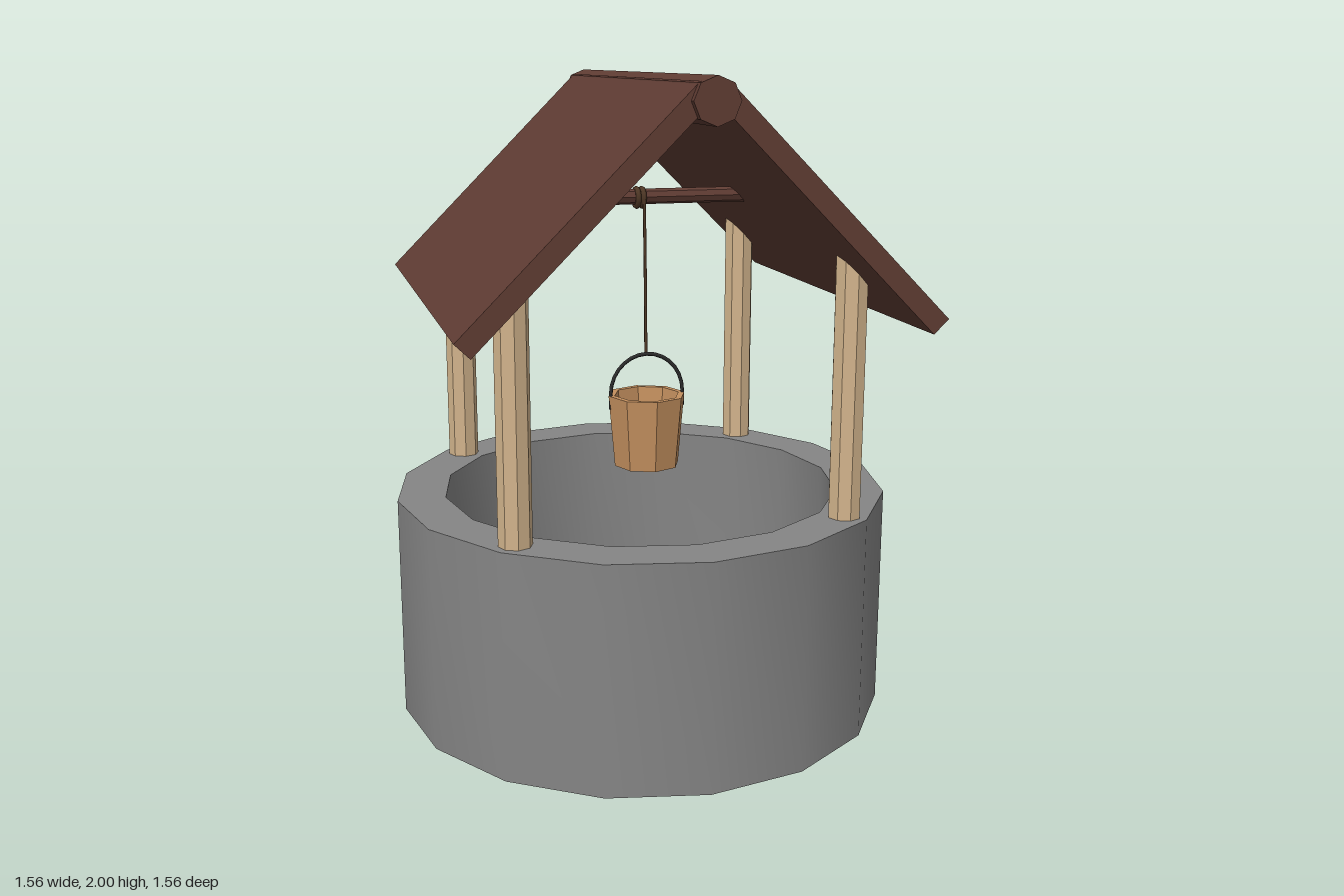
import * as THREE from 'three';
import { toCreasedNormals } from 'three/addons/utils/BufferGeometryUtils.js';

const mat = (color, flatShading = false) => new THREE.MeshStandardMaterial({ color, flatShading });

export function createModel() {
  const well = new THREE.Group();
  well.name = 'well';
  const stone = mat(0x858585);
  const post = mat(0xd2b48c, true);
  const roofWood = mat(0x5f3c33, true);
  const bucketWood = mat(0xc4905f, true);
  const rope = mat(0x4f3826);
  const iron = mat(0x2c2c2c);
  const water = mat(0x2f4f78);

  const add = (name, geometry, material, x = 0, y = 0, z = 0, parent = well) => {
    const mesh = new THREE.Mesh(geometry, material);
    mesh.name = name;
    mesh.position.set(x, y, z);
    parent.add(mesh);
    return mesh;
  };
  const lathe = (pairs, sides) =>
    new THREE.LatheGeometry(pairs.map(([r, y]) => new THREE.Vector2(r, y)), sides);

  // Hollow stone wall with a floor, and the water inside
  const wall = lathe([[0, 0], [0.78, 0], [0.78, 0.7], [0.63, 0.7], [0.63, 0.1], [0, 0.1]], 16);
  add('stoneWall', toCreasedNormals(wall, 0.6), stone);
  add('water', new THREE.CircleGeometry(0.63, 16).rotateX(-Math.PI / 2), water, 0, 0.2, 0);

  // Four posts, their tops cut along the slope of the roof
  for (const sx of [-1, 1]) {
    for (const sz of [-1, 1]) {
      const g = new THREE.CylinderGeometry(0.05, 0.05, 0.8, 8);
      g.translate(sx * 0.5, 1.1, sz * 0.5);
      const p = g.attributes.position;
      for (let i = 0; i < p.count; i++) {
        if (p.getY(i) > 1.1) p.setY(i, 1.96 - Math.abs(p.getX(i)));
      }
      add('post', g, post);
    }
  }

  // Two sloping roof slabs meeting at the ridge pole
  for (const s of [-1, 1]) {
    const slab = new THREE.Shape([
      new THREE.Vector2(0, 2.025 - 0.04),
      new THREE.Vector2(0, 1.94),
      new THREE.Vector2(0.647, 1.293),
      new THREE.Vector2(0.69, 1.335),
      new THREE.Vector2(0.04, 1.985),
    ].map((v) => new THREE.Vector2(s * v.x, v.y)));
    const g = new THREE.ExtrudeGeometry(slab, { depth: 1.48, bevelEnabled: false });
    add(s > 0 ? 'roofLeft' : 'roofRight', g, roofWood, 0, 0, -0.74);
  }
  add('ridgePole', new THREE.CylinderGeometry(0.065, 0.065, 1.525, 8).rotateX(Math.PI / 2), roofWood, 0, 1.935, 0);

  // Crossbeam with the rope looped around it
  add('crossbeam', new THREE.CylinderGeometry(0.024, 0.024, 0.7, 8).rotateZ(Math.PI / 2), roofWood, 0, 1.623, 0);
  for (const x of [-0.011, 0.006]) {
    add('ropeLoop', new THREE.TorusGeometry(0.027, 0.009, 6, 14).rotateY(Math.PI / 2), rope, x, 1.62, 0);
  }
  const ropePath = new THREE.CatmullRomCurve3([
    new THREE.Vector3(0.006, 1.62, 0.03),
    new THREE.Vector3(0.01, 1.38, 0.028),
    new THREE.Vector3(0.013, 1.125, 0.025),
  ]);
  add('rope', new THREE.TubeGeometry(ropePath, 8, 0.005, 6), rope);

  // Hollow bucket with its arched handle
  const bucket = new THREE.Group();
  bucket.name = 'bucket';
  bucket.position.set(0.015, 0.77, 0.028);
  well.add(bucket);
  const pail = lathe([[0, 0], [0.105, 0], [0.125, 0.23], [0.105, 0.23], [0.088, 0.03], [0, 0.03]], 8);
  add('pail', pail, bucketWood, 0, 0, 0, bucket);
  const handle = new THREE.TorusGeometry(0.118, 0.006, 6, 14, Math.PI);
  handle.scale(1, 1.06, 1);
  add('handle', handle, iron, 0, 0.235, 0, bucket);
  for (const s of [-1, 1]) {
    add('handleEnd', new THREE.CylinderGeometry(0.006, 0.006, 0.05, 6), iron, s * 0.118, 0.212, 0, bucket);
  }

  return well;
}
